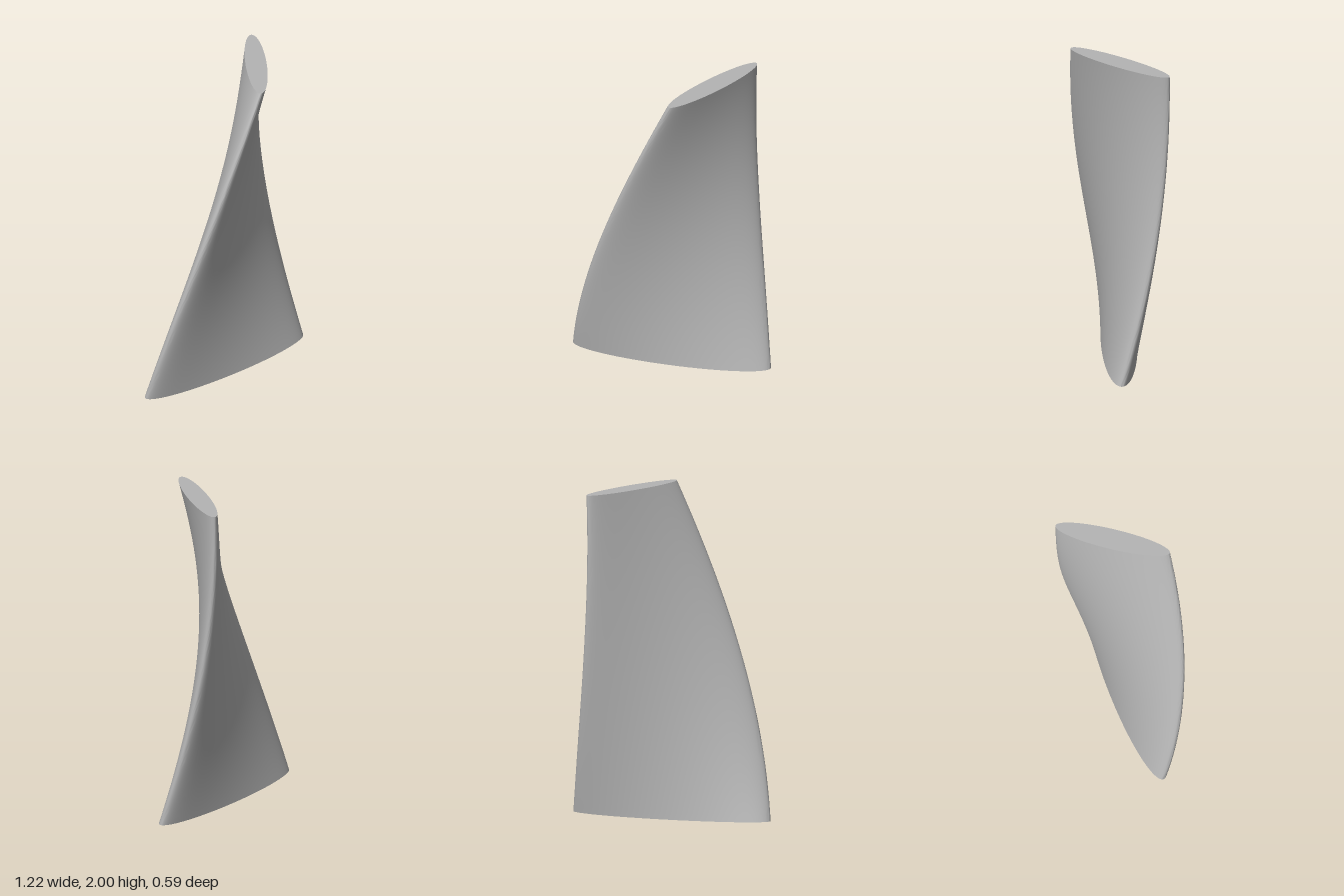
import * as THREE from 'three';
import { mergeVertices, toCreasedNormals } from 'three/addons/utils/BufferGeometryUtils.js';

const HEIGHT = 2;
const ROOT_HALF_CHORD = 0.61;
const ROOT_HALF_THICKNESS = 0.11;
const TIP_SCALE = 0.58;
const TWIST = THREE.MathUtils.degToRad(55);
const SWEEP = 0.25;

// Elliptical column that tapers and twists evenly and sweeps along a parabola
function bladeGeometry() {
  const geometry = new THREE.CylinderGeometry(1, 1, HEIGHT, 96, 48);
  geometry.translate(0, HEIGHT / 2, 0);
  const p = geometry.attributes.position;
  for (let i = 0; i < p.count; i++) {
    const t = p.getY(i) / HEIGHT;
    const scale = THREE.MathUtils.lerp(1, TIP_SCALE, t);
    const u = p.getX(i) * ROOT_HALF_CHORD * scale;
    const v = p.getZ(i) * ROOT_HALF_THICKNESS * scale;
    const c = Math.cos(TWIST * t);
    const s = Math.sin(TWIST * t);
    p.setX(i, u * c + v * s + SWEEP * t * t);
    p.setZ(i, -u * s + v * c);
  }
  // Weld the seam, then keep only the cap rims sharp
  geometry.deleteAttribute('normal');
  geometry.deleteAttribute('uv');
  return toCreasedNormals(mergeVertices(geometry), 0.9);
}

export function createModel() {
  const model = new THREE.Group();
  model.name = 'twistedBlade';
  const grey = new THREE.MeshStandardMaterial({ color: 0xb4b4b4 });
  grey.name = 'grey';
  const blade = new THREE.Mesh(bladeGeometry(), grey);
  blade.name = 'blade';
  model.add(blade);
  return model;
}
